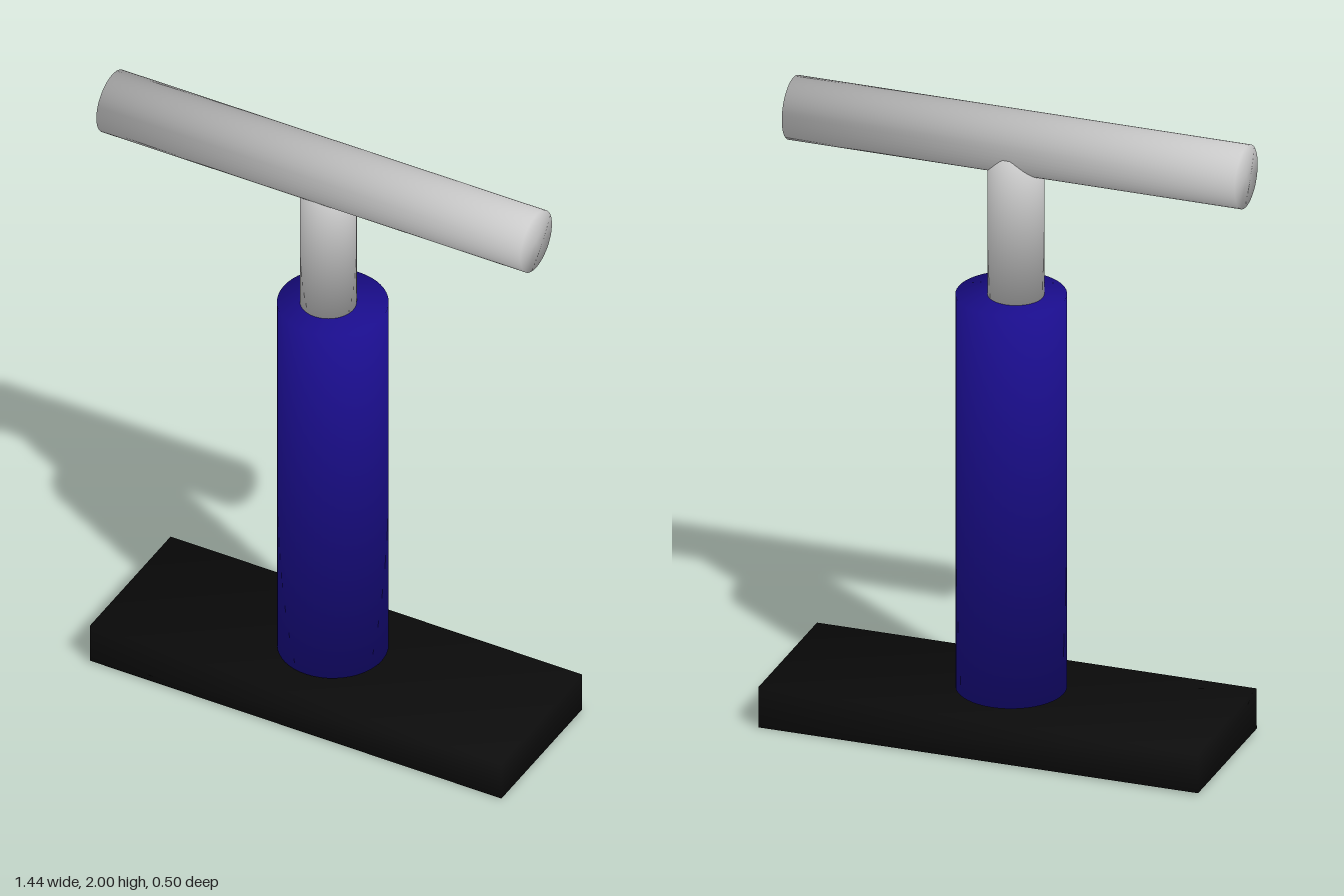
import * as THREE from 'three';

// Blend normals around the rims so the shading rolls softly over the edges
function softenNormals(geometry, hx, hy, hz) {
  const pos = geometry.attributes.position;
  const n = new THREE.Vector3();
  for (let i = 0; i < pos.count; i++) {
    n.set(pos.getX(i) / hx, pos.getY(i) / hy, pos.getZ(i) / hz).normalize();
    geometry.attributes.normal.setXYZ(i, n.x, n.y, n.z);
  }
  return geometry;
}

function cylinder(radius, length) {
  const geometry = new THREE.CylinderGeometry(radius, radius, length, 48);
  return softenNormals(geometry, radius, length / 2, radius);
}

function box(w, h, d) {
  return softenNormals(new THREE.BoxGeometry(w, h, d), w / 2, h / 2, d / 2);
}

export function createModel() {
  const model = new THREE.Group();
  model.name = 'plunger';

  const grey = new THREE.MeshStandardMaterial({ color: 0xcccccc });
  const blue = new THREE.MeshStandardMaterial({ color: 0x1a0d8c });
  const black = new THREE.MeshStandardMaterial({ color: 0x0d0d0d });

  function add(name, geometry, material, x, y, z) {
    const mesh = new THREE.Mesh(geometry, material);
    mesh.name = name;
    mesh.position.set(x, y, z);
    model.add(mesh);
    return mesh;
  }

  // Flat foot plate, very slightly tilted
  const base = add('base', box(1.385, 0.13, 0.495), black, 0.027, 0.069, -0.002);
  base.rotation.z = -0.004;

  // Thick barrel floating just above the base
  add('barrel', cylinder(0.165, 1.27), blue, 0.013, 1.78 - 1, -0.008);

  // Thin rod rising from the barrel into the handle
  add('rod', cylinder(0.084, 0.48), grey, 0, 1.64, -0.004);

  // Crossbar handle along x
  const handle = add('handle', cylinder(0.097, 1.427), grey, -0.008, 1.903, 0.007);
  handle.rotation.z = -Math.PI / 2;

  return model;
}
